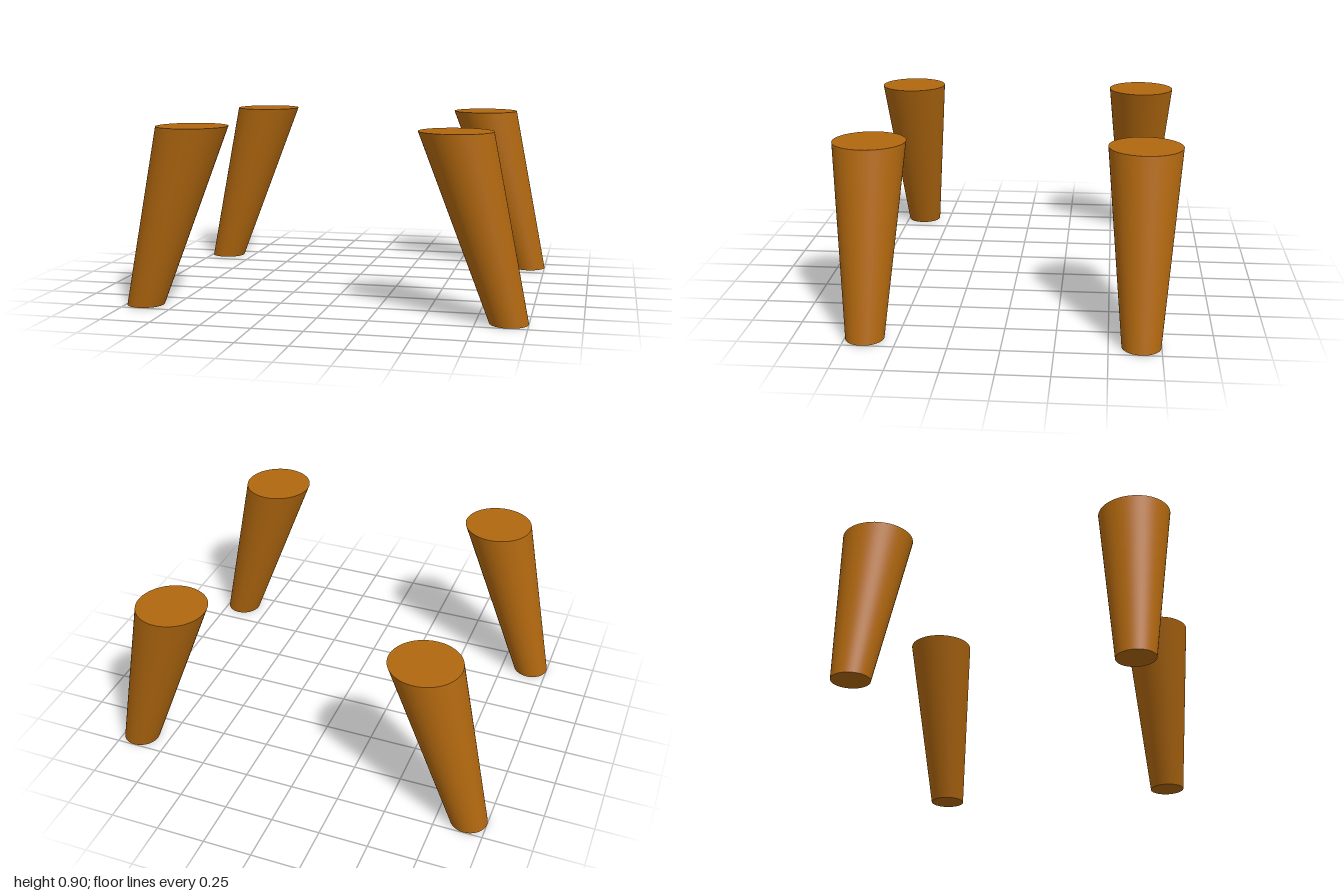
import * as THREE from 'three';

const HEIGHT = 0.9;
const TOP = { x: 0.645, r: 0.177 };
const FOOT = { x: 0.907, r: 0.093 };
const LEG_Z = 0.655;

// Tapered leg, sheared so it splays sideways while both ends stay level
function makeLeg(side, material) {
  const geometry = new THREE.CylinderGeometry(TOP.r, FOOT.r, HEIGHT, 64);
  geometry.translate(0, HEIGHT / 2, 0);
  const lean = side * (TOP.x - FOOT.x) / HEIGHT;
  geometry.applyMatrix4(new THREE.Matrix4().makeShear(0, 0, lean, 0, 0, 0));
  return new THREE.Mesh(geometry, material);
}

export function createModel() {
  const group = new THREE.Group();
  group.name = 'legSet';
  const wood = new THREE.MeshStandardMaterial({ color: 0xb0670f });

  // Four legs, one at each corner
  for (const [sideName, side] of [['Left', 1], ['Right', -1]]) {
    for (const [endName, end] of [['front', 1], ['back', -1]]) {
      const leg = makeLeg(side, wood);
      leg.name = `${endName}${sideName}Leg`;
      leg.position.set(side * FOOT.x, 0, end * LEG_Z);
      group.add(leg);
    }
  }
  return group;
}
